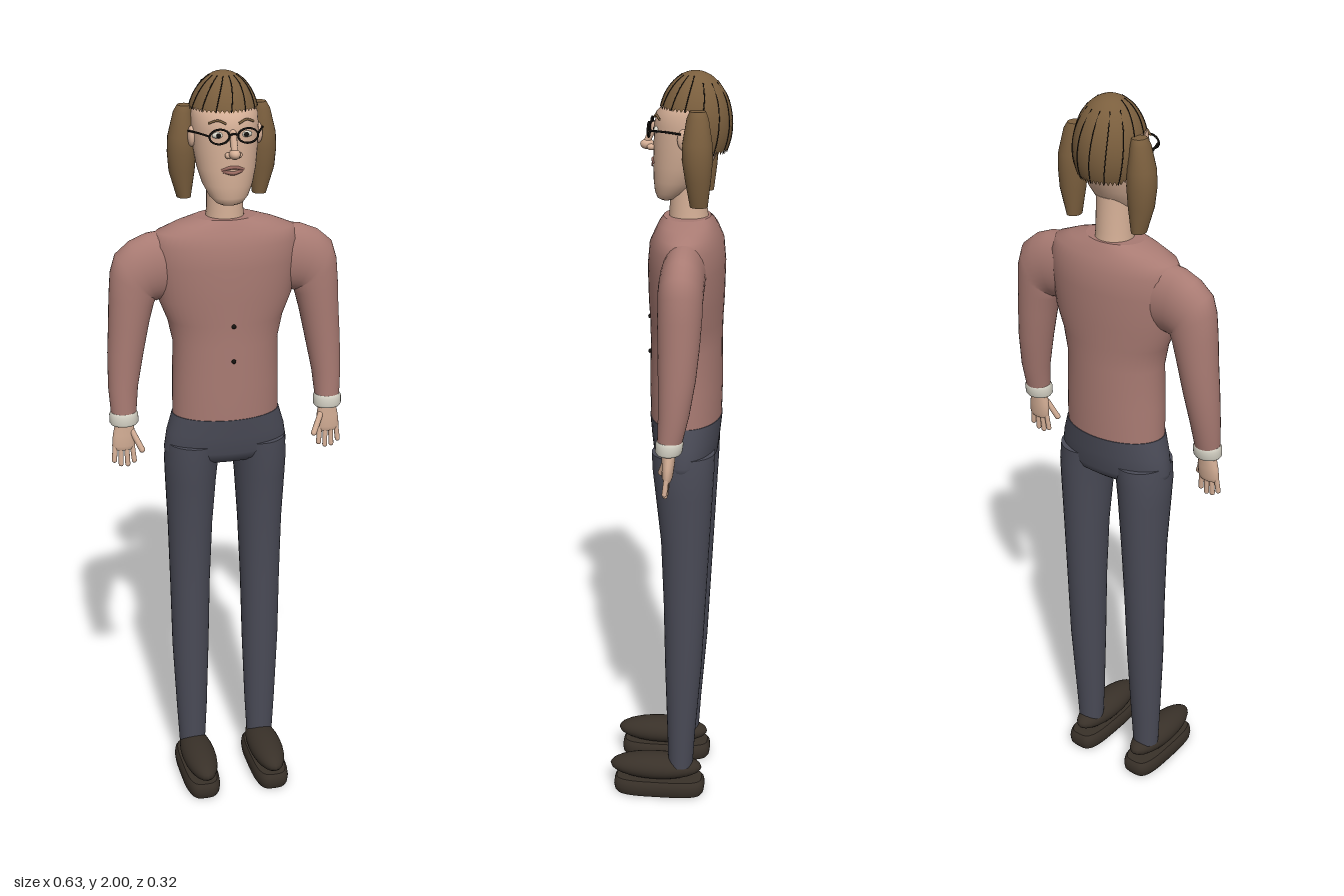
import * as THREE from 'three';

const mat = (name, color, side = THREE.FrontSide) => {
  const m = new THREE.MeshStandardMaterial({ color, side });
  m.name = name;
  return m;
};

// Closed skin over oval sections [x, y, z, halfWidth, halfDepth, tiltDegrees]; listed bottom to top.
function loft(sections, n = 32, power = 2) {
  const pos = [], idx = [];
  const bend = v => Math.sign(v) * Math.abs(v) ** (2 / power);
  const ring = ([x, y, z, a, b, tilt = 0]) => {
    const k = THREE.MathUtils.degToRad(tilt);
    for (let j = 0; j < n; j++) {
      const t = j / n * Math.PI * 2, u = a * bend(Math.cos(t));
      pos.push(x + u * Math.cos(k), y + u * Math.sin(k), z + b * bend(Math.sin(t)));
    }
  };
  sections.forEach(ring);
  for (let i = 0; i < sections.length - 1; i++) for (let j = 0; j < n; j++) {
    const a = i * n + j, b = i * n + (j + 1) % n;
    idx.push(a, a + n, b, b, a + n, b + n);
  }
  // end caps
  [sections[0], sections.at(-1)].forEach((s, end) => {
    const base = pos.length / 3;
    ring(s);
    pos.push(s[0], s[1], s[2]);
    for (let j = 0; j < n; j++) {
      const a = base + j, b = base + (j + 1) % n;
      idx.push(base + n, end ? b : a, end ? a : b);
    }
  });
  const g = new THREE.BufferGeometry();
  g.setAttribute('position', new THREE.Float32BufferAttribute(pos, 3));
  g.setIndex(idx);
  g.computeVertexNormals();
  return g;
}

const ball = (x, y, z, rx, ry, rz) =>
  new THREE.SphereGeometry(1, 24, 16).scale(rx, ry, rz).translate(x, y, z);

const tube = (pts, r, seg = 12, closed = false) => new THREE.TubeGeometry(
  new THREE.CatmullRomCurve3(pts.map(p => new THREE.Vector3(...p)), closed), seg, r, 6, closed);

// Rounded finger between two points
function finger(p, q, r) {
  const a = new THREE.Vector3(...p), b = new THREE.Vector3(...q), d = b.clone().sub(a);
  const turn = new THREE.Quaternion().setFromUnitVectors(new THREE.Vector3(0, 1, 0), d.clone().normalize());
  return new THREE.CapsuleGeometry(r, d.length(), 5, 10).applyQuaternion(turn)
    .translate(...a.add(b).multiplyScalar(0.5).toArray());
}

function mirrored(geo) {
  const g = geo.clone().scale(-1, 1, 1), ix = g.index;
  for (let i = 0; i < ix.count; i += 3) {
    const t = ix.getX(i);
    ix.setX(i, ix.getX(i + 1));
    ix.setX(i + 1, t);
  }
  g.attributes.normal.needsUpdate = true;
  return g;
}

export function createModel() {
  const root = new THREE.Group();
  root.name = 'woman';
  const sweater = mat('dusty pink', 0xa97b73), denim = mat('dark slate', 0x4a4b57);
  const skin = mat('skin', 0xd6b097), brown = mat('hair brown', 0x7b5f3e, THREE.DoubleSide);
  const leather = mat('dark leather', 0x393129), trim = mat('off white', 0xd6d3c6);
  const black = mat('black', 0x15120f), rose = mat('lip rose', 0x9c6c62);

  const add = (name, geo, m) => {
    const mesh = new THREE.Mesh(geo, m);
    mesh.name = name;
    root.add(mesh);
  };
  const pair = (name, geo, m) => {
    add(name + 'Left', geo, m);
    add(name + 'Right', mirrored(geo), m);
  };

  // Sweater body and buttons
  const tz = -0.047;
  add('torso', loft([
    [0, 1.1, tz, 0.143, 0.093], [0, 1.2, tz, 0.142, 0.095], [0, 1.31, tz, 0.14, 0.093],
    [0, 1.37, tz, 0.153, 0.094], [0, 1.43, tz, 0.177, 0.097], [0, 1.52, tz, 0.19, 0.099],
    [0, 1.575, tz, 0.192, 0.094], [0, 1.606, tz, 0.18, 0.08], [0, 1.626, tz, 0.13, 0.07],
    [0, 1.64, tz, 0.08, 0.06]], 48), sweater);
  for (const y of [1.275, 1.37]) add('button', ball(0, y, 0.049, 0.006, 0.006, 0.005), black);

  // Sleeves, from wrist to shoulder
  pair('sleeve', loft([
    [0.278, 1.125, -0.03, 0.033, 0.031], [0.276, 1.2, -0.04, 0.039, 0.039],
    [0.266, 1.29, -0.047, 0.047, 0.047], [0.255, 1.37, -0.05, 0.053, 0.052],
    [0.247, 1.43, -0.051, 0.059, 0.055, 12], [0.241, 1.47, -0.052, 0.069, 0.056, 32],
    [0.237, 1.49, -0.052, 0.079, 0.056, 52], [0.215, 1.505, -0.052, 0.086, 0.056, 68],
    [0.19, 1.515, -0.052, 0.089, 0.056, 82], [0.14, 1.52, -0.052, 0.09, 0.055, 90]]), sweater);
  pair('cuff', loft([
    [0.278, 1.1, -0.028, 0.034, 0.03], [0.278, 1.106, -0.028, 0.038, 0.034],
    [0.278, 1.127, -0.03, 0.038, 0.035], [0.278, 1.134, -0.03, 0.034, 0.031]]), trim);

  // Hands
  pair('palm', loft([
    [0.281, 1.028, -0.025, 0.024, 0.01], [0.281, 1.04, -0.025, 0.031, 0.014],
    [0.279, 1.07, -0.027, 0.03, 0.016], [0.278, 1.105, -0.028, 0.023, 0.018]], 20), skin);
  for (let i = 0; i < 4; i++) {
    const x = 0.259 + i * 0.0148, tip = [0.995, 0.986, 0.988, 1.0][i];
    pair('finger', finger([x, 1.045, -0.025], [x + (i - 1.5) * 0.003, tip, -0.02], 0.0068), skin);
  }
  pair('thumb', finger([0.258, 1.077, -0.02], [0.236, 1.03, -0.004], 0.008), skin);

  // Trousers
  add('hips', loft([
    [0, 0.978, -0.047, 0.15, 0.06], [0, 0.99, -0.047, 0.164, 0.075], [0, 1.01, -0.047, 0.168, 0.084],
    [0, 1.06, tz, 0.16, 0.09], [0, 1.11, tz, 0.145, 0.095]], 48), denim);
  pair('trouserLeg', loft([
    [0.1, 0.09, -0.043, 0.037, 0.034], [0.1, 0.2, -0.045, 0.043, 0.039], [0.101, 0.4, -0.05, 0.051, 0.05],
    [0.1, 0.6, -0.053, 0.055, 0.057], [0.098, 0.78, -0.054, 0.061, 0.065],
    [0.096, 0.92, -0.05, 0.069, 0.076], [0.094, 0.98, -0.048, 0.073, 0.081],
    [0.088, 1.03, -0.047, 0.074, 0.083]]), denim);

  // Shoes
  pair('shoeSole', loft([
    [0.1, 0, 0.017, 0.044, 0.12], [0.1, 0.009, 0.017, 0.049, 0.126], [0.1, 0.024, 0.017, 0.051, 0.128],
    [0.1, 0.038, 0.017, 0.049, 0.126], [0.1, 0.047, 0.017, 0.043, 0.12]], 40, 3.5), leather);
  pair('shoeUpper', ball(0.098, 0.078, 0.027, 0.047, 0.037, 0.129), leather);

  // Neck and head: [height, half width, front z, back z]
  add('neck', loft([[0, 1.61, -0.052, 0.052, 0.052], [0, 1.66, -0.05, 0.047, 0.048],
    [0, 1.75, -0.05, 0.046, 0.046]]), skin);
  add('head', loft([
    [1.68, 0.022, 0.02, -0.01], [1.685, 0.034, 0.029, -0.025], [1.7, 0.049, 0.035, -0.05],
    [1.73, 0.064, 0.038, -0.08], [1.77, 0.075, 0.039, -0.108], [1.82, 0.082, 0.038, -0.13],
    [1.87, 0.085, 0.036, -0.142], [1.9, 0.084, 0.03, -0.142], [1.916, 0.078, 0.015, -0.14],
    [1.94, 0.062, -0.006, -0.12]].map(([y, a, f, b]) => [0, y, (f + b) / 2, a, (f - b) / 2]), 40), skin);
  pair('ear', ball(0.086, 1.845, -0.045, 0.01, 0.026, 0.016), skin);

  // Face
  add('noseBridge', finger([0, 1.865, 0.036], [0, 1.825, 0.054], 0.009), skin);
  add('noseTip', ball(0, 1.817, 0.054, 0.014, 0.013, 0.018), skin);
  pair('nostril', ball(0.013, 1.812, 0.043, 0.009, 0.008, 0.011), skin);
  pair('eyeWhite', ball(0.035, 1.86, 0.027, 0.016, 0.008, 0.007), trim);
  pair('iris', ball(0.035, 1.86, 0.033, 0.006, 0.006, 0.003), black);
  pair('eyebrow', tube([[0.016, 1.888, 0.034], [0.036, 1.896, 0.028], [0.057, 1.888, 0.017]], 0.003), brown);
  add('upperLip', tube([[-0.028, 1.773, 0.031], [-0.008, 1.78, 0.039], [0.008, 1.78, 0.039],
    [0.028, 1.773, 0.031]], 0.0045), rose);
  add('lowerLip', tube([[-0.024, 1.771, 0.033], [0, 1.766, 0.04], [0.024, 1.771, 0.033]], 0.005), rose);

  // Glasses
  const rim = Array.from({ length: 16 }, (_, i) => {
    const t = i / 16 * Math.PI * 2;
    return [0.036 + 0.025 * Math.cos(t), 1.86 + 0.018 * Math.sin(t), 0.046];
  });
  pair('glassesRim', tube(rim, 0.0026, 40, true), black);
  add('glassesBridge', tube([[-0.012, 1.862, 0.046], [0, 1.866, 0.048], [0.012, 1.862, 0.046]], 0.0026), black);
  pair('glassesArm', tube([[0.06, 1.862, 0.046], [0.078, 1.862, 0.003], [0.095, 1.86, -0.04]], 0.0026), black);

  // Hair cap: an ellipsoid whose hem drops from the forehead to the nape
  const C = [0, 1.87, -0.066], R = [0.091, 0.13, 0.092];
  const hem = s => 1.8 + 0.11 * THREE.MathUtils.smoothstep(s, -0.5, -0.1);
  const onCap = (phi, v, grow = 1) => {
    const th = v * Math.acos((hem(Math.sin(phi)) - C[1]) / R[1]);
    const d = [-Math.cos(phi) * Math.sin(th), Math.cos(th), Math.sin(phi) * Math.sin(th)];
    return d.map((k, i) => C[i] + k * R[i] * grow);
  };
  const cap = new THREE.SphereGeometry(1, 48, 20);
  const { position: P, normal: N, uv: U } = cap.attributes;
  for (let i = 0; i < P.count; i++) {
    const p = onCap(U.getX(i) * Math.PI * 2, 1 - U.getY(i));
    const n = new THREE.Vector3(...p.map((k, j) => (k - C[j]) / R[j] ** 2)).normalize();
    P.setXYZ(i, ...p);
    N.setXYZ(i, n.x, n.y, n.z);
  }
  add('hairCap', cap, brown);
  for (let i = 0; i < 14; i++) {
    const phi = (i + 0.5) / 14 * Math.PI * 2;
    const line = [0.3, 0.5, 0.7, 0.85, 0.99].map(v => onCap(phi + 0.3 * (1 - v), v, 1.002));
    add('hairStrand', tube(line, 0.0013, 16), black);
  }

  // Bunches of hair at the sides
  pair('hairBunch', loft([
    [0.099, 1.683, -0.084, 0.018, 0.022], [0.104, 1.75, -0.082, 0.033, 0.032],
    [0.104, 1.8, -0.08, 0.037, 0.038], [0.104, 1.84, -0.08, 0.035, 0.037],
    [0.1, 1.9, -0.08, 0.024, 0.027], [0.096, 1.917, -0.08, 0.018, 0.02]], 24), brown);

  return root;
}
